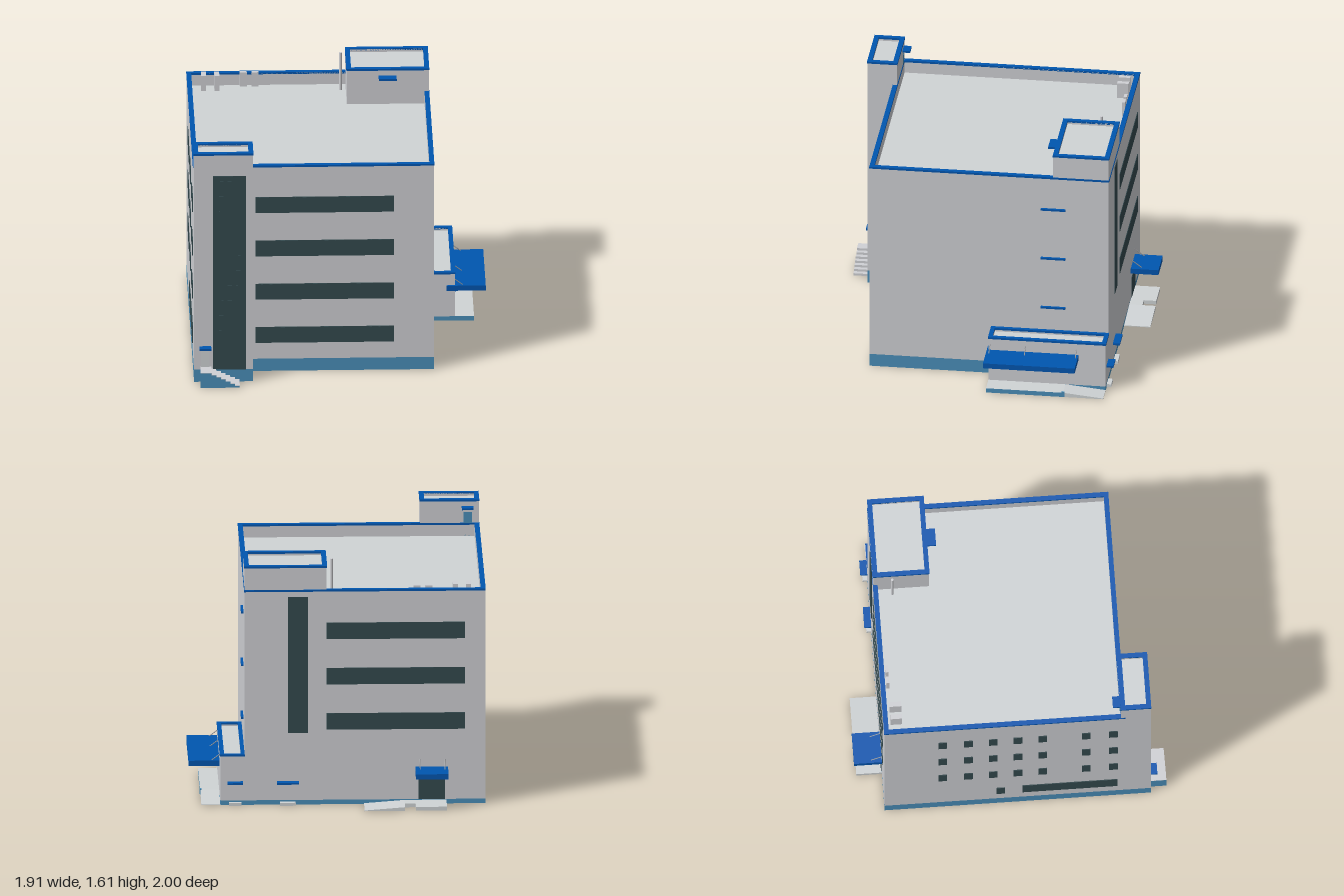
import * as THREE from 'three';

const mat = (name, color, side = THREE.FrontSide) => {
  const m = new THREE.MeshStandardMaterial({ color, side });
  m.name = name;
  return m;
};

export function createModel() {
  const D = THREE.DoubleSide;
  const wall = mat('wall grey', 0xd0d1d5, D);
  const roofing = mat('roof grey', 0xd0d4d6, D);
  const trim = mat('trim blue', 0x0056b0, D);
  const plinth = mat('plinth blue', 0x4a8fba, D);
  const glass = mat('dark glass', 0x344a4f);
  const metal = mat('metal grey', 0x9a9c9f);

  const model = new THREE.Group();
  const add = (name, geo, material) => {
    const m = new THREE.Mesh(geo, material);
    m.name = name;
    model.add(m);
    return m;
  };
  // box given by its limits
  const box = (name, material, x0, x1, y0, y1, z0, z1) =>
    add(name, new THREE.BoxGeometry(x1 - x0, y1 - y0, z1 - z0), material)
      .position.set((x0 + x1) / 2, (y0 + y1) / 2, (z0 + z1) / 2);

  // upright walls along a line of [x, z] points, open above and below
  const walls = (name, material, pts, y0, y1, closed = true) => {
    const pos = [];
    const n = closed ? pts.length : pts.length - 1;
    for (let i = 0; i < n; i++) {
      const [ax, az] = pts[i], [bx, bz] = pts[(i + 1) % pts.length];
      pos.push(ax, y0, az, bx, y1, bz, ax, y1, az, ax, y0, az, bx, y0, bz, bx, y1, bz);
    }
    const g = new THREE.BufferGeometry();
    g.setAttribute('position', new THREE.Float32BufferAttribute(pos, 3));
    g.computeVertexNormals();
    add(name, g, material);
  };
  const rect = (x0, x1, z0, z1) => [[x0, z0], [x0, z1], [x1, z1], [x1, z0]];
  const slab = (name, x0, x1, z0, z1, y) =>
    add(name, new THREE.PlaneGeometry(x1 - x0, z1 - z0).rotateX(-Math.PI / 2), roofing)
      .position.set((x0 + x1) / 2, y, (z0 + z1) / 2);

  // rectangular ring lying flat, w wide and h high
  const ringGeo = (x0, x1, z0, z1, w, h) => {
    const path = (P, d) => new P([[x0 + d, -z1 + d], [x1 - d, -z1 + d], [x1 - d, -z0 - d], [x0 + d, -z0 - d]]
      .map(([x, y]) => new THREE.Vector2(x, y)));
    const s = path(THREE.Shape, 0);
    s.holes.push(path(THREE.Path, w));
    return new THREE.ExtrudeGeometry(s, { depth: h, bevelEnabled: false }).rotateX(-Math.PI / 2);
  };

  // blue coping, inner parapet faces and sunken roof
  const parapet = (name, x0, x1, z0, z1, top, roofY, w = 0.028) => {
    const o = 0.003;
    add(name + 'Coping', ringGeo(x0 - o, x1 + o, z0 - o, z1 + o, w + o, 0.013), trim).position.y = top - 0.013;
    walls(name + 'ParapetInside', wall, rect(x0 + w, x1 - w, z0 + w, z1 - w), roofY, top - 0.005);
    slab(name + 'Roof', x0 + 0.01, x1 - 0.01, z0 + 0.01, z1 - 0.01, roofY);
  };

  // main block
  const X0 = -0.95, X1 = 0.598, ZB = -0.82, ZF = 0.73, TX = -0.571, TB = 0.705, TZ = 0.897;
  const AX = 0.755, AZ = -0.06;
  const foot = [[X1, ZB], [X1, ZF], [TX, ZF]];
  walls('sideAndFrontWalls', wall, foot, 0.085, 1.425, false);
  walls('farSideWall', wall, [[X0, TB], [X0, ZB]], 0.085, 1.425, false);
  walls('backWall', wall, [[X0, ZB], [X1, ZB]], 0.03, 1.425, false);
  walls('plinth', plinth, [[X1, AZ], ...foot.slice(1)], 0, 0.085, false);
  walls('farSidePlinth', plinth, [[X0, TB], [X0, ZB]], 0, 0.085, false);
  walls('backPlinth', plinth, [[X0, ZB], [X1, ZB]], 0, 0.03, false);
  parapet('main', X0, X1, ZB, ZF, 1.437, 1.35);

  // front stair tower
  const tower = rect(X0, TX, TB, TZ);
  walls('towerWalls', wall, tower, 0.085, 1.585);
  walls('towerPlinth', plinth, tower, 0, 0.085);
  parapet('tower', X0, TX, TB, TZ, 1.594, 1.57);

  // rooftop stair house
  walls('roofHouse', wall, rect(0.07, X1, ZB, -0.46), 1.35, 1.585);
  parapet('roofHouse', 0.07, X1, ZB, -0.46, 1.596, 1.572);

  // low annex on the left side of the building
  const annex = [[X1, AZ], [AX, AZ], [AX, ZB], [X1, ZB]];
  walls('annexWalls', wall, annex, 0.03, 0.33, false);
  walls('annexPlinth', plinth, annex, 0, 0.03, false);
  parapet('annex', X1, AX, ZB, AZ, 0.338, 0.315, 0.025);

  // front glazing with small raised sashes
  const frontPane = (name, x0, x1, y0, y1, z) => box(name, glass, x0, x1, y0, y1, z + 0.001, z + 0.005);
  frontPane('towerGlazing', -0.828, -0.615, 0.085, 1.437, TZ);
  for (let i = 0; i < 13; i++)
    for (const x of [-0.775, -0.72, -0.665]) {
      const y = 0.135 + i * 0.1045;
      frontPane('towerSash', x - 0.014, x + 0.014, y - 0.014, y + 0.014, TZ + 0.002);
    }
  const floors = [0.198, 0.5, 0.803, 1.106];
  for (const y of floors) {
    frontPane('frontWindowBand', -0.55, 0.34, y, y + 0.11, ZF);
    for (let i = 0; i < 12; i++) {
      const x = -0.515 + i * 0.07;
      frontPane('frontSash', x - 0.014, x + 0.014, y + 0.092, y + 0.108, ZF + 0.002);
    }
  }

  // back glazing
  const backPane = (name, x0, x1, y0, y1) => box(name, glass, x0, x1, y0, y1, ZB - 0.005, ZB - 0.001);
  backPane('backStairGlazing', 0.19, 0.32, 0.48, 1.39);
  floors.slice(1).forEach((y) => backPane('backWindowBand', -0.82, 0.07, y, y + 0.11));
  backPane('backDoor', -0.69, -0.52, 0.03, 0.17);

  // windows of the far side wall
  const sidePane = (z0, z1, y0, y1) =>
    box('sideWindow', glass, X0 - 0.006, X0 - 0.001, y0, y1, z0, z1);
  for (const y of floors.slice(1))
    for (const z of [-0.445, -0.28, -0.12, 0.04, 0.2, 0.48, 0.655])
      sidePane(z - 0.028, z + 0.028, y - 0.01, y + 0.098);
  sidePane(-0.1, -0.045, 0.18, 0.285);
  sidePane(0.07, 0.68, 0.18, 0.3);

  // small door and window canopies
  const canopy = (...b) => box('smallCanopy', trim, ...b);
  canopy(-0.915, -0.84, 0.235, 0.248, TZ, 0.942);
  canopy(-0.915, -0.84, 1.535, 1.548, 0.655, TB);
  canopy(0.275, 0.39, 1.535, 1.548, -0.46, -0.4);
  canopy(0.25, 0.39, 0.145, 0.158, -0.865, ZB);
  canopy(0.61, 0.71, 0.145, 0.158, -0.865, ZB);
  for (const y of [0.494, 0.848, 1.2]) canopy(X1, 0.614, y, y + 0.012, -0.54, -0.38);
  for (const z of [-0.25, -0.47]) canopy(AX, 0.772, 0.183, 0.194, z, z + 0.14);
  box('towerRoofDoor', plinth, -0.905, -0.85, 1.35, 1.51, TB - 0.003, TB - 0.001);
  box('towerEntranceDoor', roofing, -0.905, -0.85, 0.105, 0.215, TZ, TZ + 0.004);

  // large entrance canopies with tie rods
  box('annexCanopy', trim, AX, 0.953, 0.212, 0.247, -0.645, -0.05);
  box('annexCanopyReturn', trim, 0.7, AX, 0.212, 0.247, AZ, -0.05);
  box('backCanopy', trim, -0.71, -0.5, 0.212, 0.247, -1, ZB);
  const rod = (a, b) => add('tieRod', new THREE.TubeGeometry(
    new THREE.LineCurve3(new THREE.Vector3(...a), new THREE.Vector3(...b)), 1, 0.003, 6), metal);
  for (const z of [-0.07, -0.3, -0.63]) rod([AX, 0.285, z], [0.81, 0.243, z]);
  for (const x of [-0.69, -0.53]) rod([x, 0.295, ZB], [x, 0.243, -0.89]);

  // front steps: blue side, grey treads and risers
  const steps = 7, run = 0.18 / (steps - 1), rise = 0.105 / steps;
  for (let i = 0; i < steps; i++) {
    const x0 = i ? -0.84 + (i - 1) * run : -0.91, x1 = -0.84 + i * run;
    const h = 0.105 - i * rise;
    box('stepBase', plinth, x0, x1, 0, h - 0.003, TZ, 1);
    box('stepTread', wall, x0, x1, h - 0.003, h, TZ, 1);
    box('stepRiser', wall, x1, x1 + 0.002, h - rise, h, TZ, 1);
  }

  // sloping slab: side profile extruded to a given width
  const ramp = (name, pts, width) => add(name, new THREE.ExtrudeGeometry(
    new THREE.Shape(pts.map(([u, v]) => new THREE.Vector2(u, v))), { depth: width, bevelEnabled: false }), roofing);

  // annex porch, open underneath, and ramp
  walls('annexPorchSides', plinth, rect(AX, 0.878, -0.56, AZ), 0, 0.03);
  slab('annexPorchTop', AX, 0.878, -0.56, AZ, 0.03);
  box('annexPorchKerb', plinth, 0.87, 0.88, 0, 0.037, -0.57, -0.55);
  const side = ramp('annexRamp', [[0.56, 0], [0.82, 0], [0.82, 0.005], [0.56, 0.03]], 0.122);
  side.rotation.y = Math.PI / 2;
  side.position.x = AX;

  // back porch, ramp and door steps
  box('backPorch', roofing, -0.7, -0.5, 0, 0.025, -0.985, ZB);
  box('backPorchLanding', roofing, -0.5, -0.43, 0, 0.025, -0.905, ZB);
  ramp('backRamp', [[-0.43, 0], [-0.17, 0], [-0.17, 0.005], [-0.43, 0.025]], 0.17).position.z = -0.99;
  box('backDoorStep', roofing, 0.27, 0.37, 0, 0.02, -0.85, ZB);
  box('backDoorStep', roofing, 0.62, 0.7, 0, 0.02, -0.85, ZB);

  // mast and vents on the roof
  add('mast', new THREE.CylinderGeometry(0.009, 0.009, 0.26, 12), wall).position.set(0.036, 1.48, -0.7);
  for (const x of [-0.86, -0.775]) box('roofVent', wall, x, x + 0.032, 1.35, 1.455, -0.775, -0.7);
  for (const x of [-0.61, -0.535]) box('roofVentSmall', wall, x, x + 0.045, 1.35, 1.45, -0.785, -0.765);

  return model;
}
